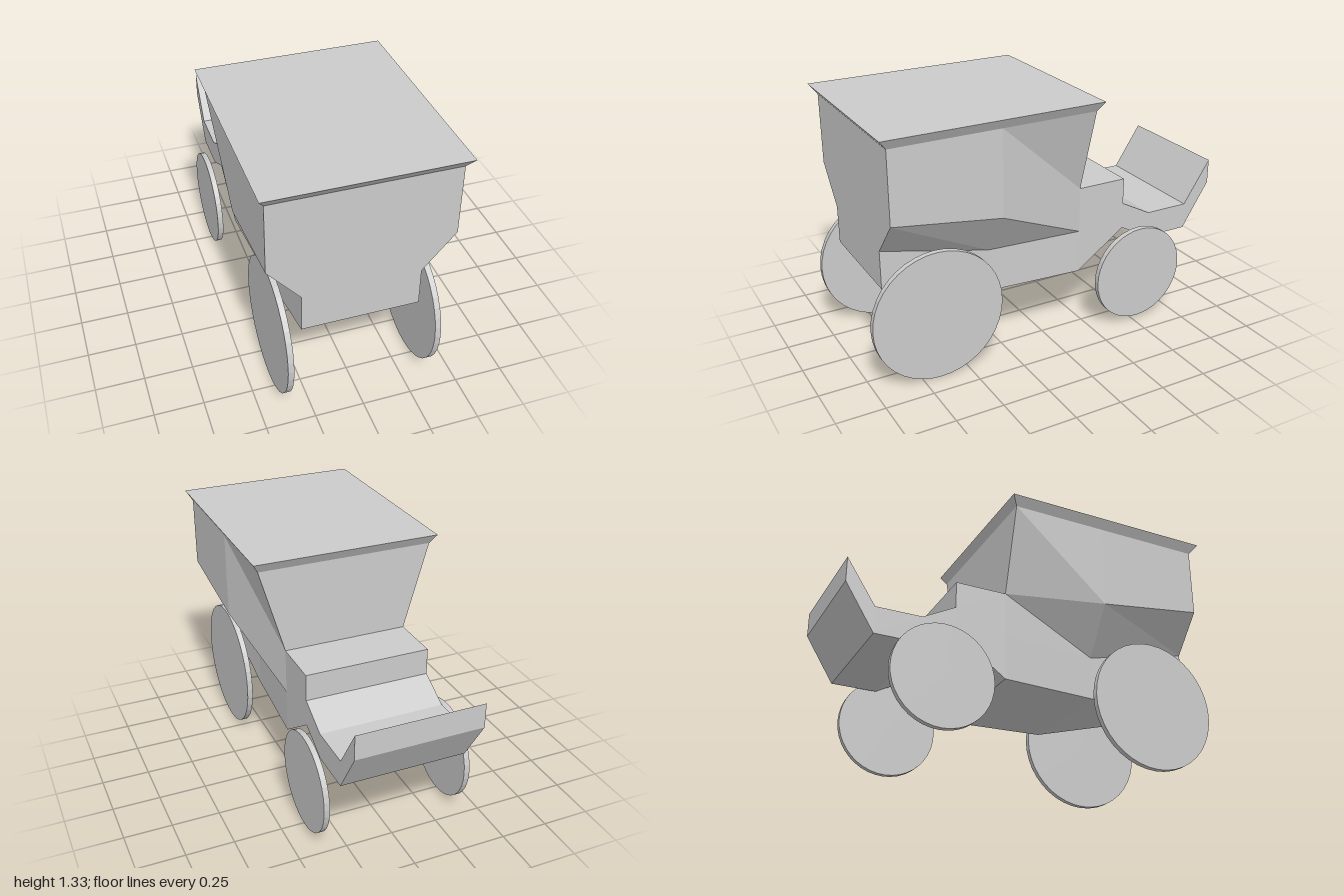
import * as THREE from 'three';

const material = new THREE.MeshStandardMaterial({ color: 0xcccccc, flatShading: true });

// Lofts mirrored half-sections (front to back, each listed top to bottom) into a closed solid.
function loft(sections) {
  const rings = sections.map(({ z, half }) => {
    const right = half.map(([x, y]) => [x, y, z]);
    return [...right, ...right.map(([x, y]) => [-x, y, z]).reverse()];
  });
  const out = [];
  const quad = (a, b, c, d) => out.push(...a, ...b, ...c, ...a, ...c, ...d);
  const n = rings[0].length;
  for (let s = 0; s < rings.length - 1; s++) {
    const a = rings[s], b = rings[s + 1];
    for (let j = 0; j < n; j++) {
      const k = (j + 1) % n;
      quad(a[j], a[k], b[k], b[j]);
    }
  }
  const first = rings[0], last = rings[rings.length - 1];
  for (let i = 0; i < n / 2 - 1; i++) {
    quad(first[i], first[n - 1 - i], first[n - 2 - i], first[i + 1]);
    quad(last[i], last[i + 1], last[n - 2 - i], last[n - 1 - i]);
  }
  const geometry = new THREE.BufferGeometry();
  geometry.setAttribute('position', new THREE.Float32BufferAttribute(out, 3));
  geometry.computeVertexNormals();
  return geometry;
}

export function createModel() {
  const group = new THREE.Group();
  const add = (name, geometry) => {
    const mesh = new THREE.Mesh(geometry, material);
    mesh.name = name;
    group.add(mesh);
    return mesh;
  };

  // Cabin: wide above, tucked in towards the floor
  add('cabin', loft([
    { z: 0.91, half: [[0.46, 1.28], [0.46, 0.91], [0.295, 0.72], [0.295, 0.52]] },
    { z: 0.34, half: [[0.46, 1.28], [0.46, 0.83], [0.295, 0.59], [0.295, 0.36]] },
    { z: -0.17, half: [[0.46, 1.28], [0.33, 0.83], [0.33, 0.59], [0.33, 0.36]] },
  ]));

  // Roof flaring out to its top edge
  const roof = new THREE.BoxGeometry(0.98, 0.05, 1.15).translate(0, 1.305, 0.375);
  const p = roof.attributes.position;
  for (let i = 0; i < p.count; i++) {
    if (p.getY(i) < 1.3) {
      p.setX(i, Math.sign(p.getX(i)) * 0.46);
      p.setZ(i, p.getZ(i) > 0 ? 0.91 : -0.17);
    }
  }
  roof.computeVertexNormals();
  add('roof', roof);

  // Driver's bench, floor and raised footboard, as one side profile (z, y)
  const profile = new THREE.Shape([
    [-0.17, 0.36], [-0.17, 0.83], [-0.44, 0.83], [-0.44, 0.69], [-0.61, 0.6], [-0.85, 0.6],
    [-1, 0.83], [-1, 0.7], [-0.85, 0.46], [-0.61, 0.46], [-0.44, 0.55],
  ].map(([z, y]) => new THREE.Vector2(z, y)));
  add('driverBenchAndFootboard',
    new THREE.ExtrudeGeometry(profile, { depth: 0.66, bevelEnabled: false })
      .translate(0, 0, -0.33).rotateY(-Math.PI / 2));

  // Solid disc wheels, large pair under the cabin and small pair under the bench
  const wheel = (name, radius, x, y, z) =>
    add(name, new THREE.CylinderGeometry(radius, radius, 0.03, 40).rotateZ(Math.PI / 2))
      .position.set(x, y, z);
  wheel('largeWheelLeft', 0.345, 0.37, 0.347, 0.655);
  wheel('largeWheelRight', 0.345, -0.373, 0.347, 0.655);
  wheel('smallWheelLeft', 0.262, 0.37, 0.283, -0.525);
  wheel('smallWheelRight', 0.262, -0.393, 0.283, -0.525);

  return group;
}
